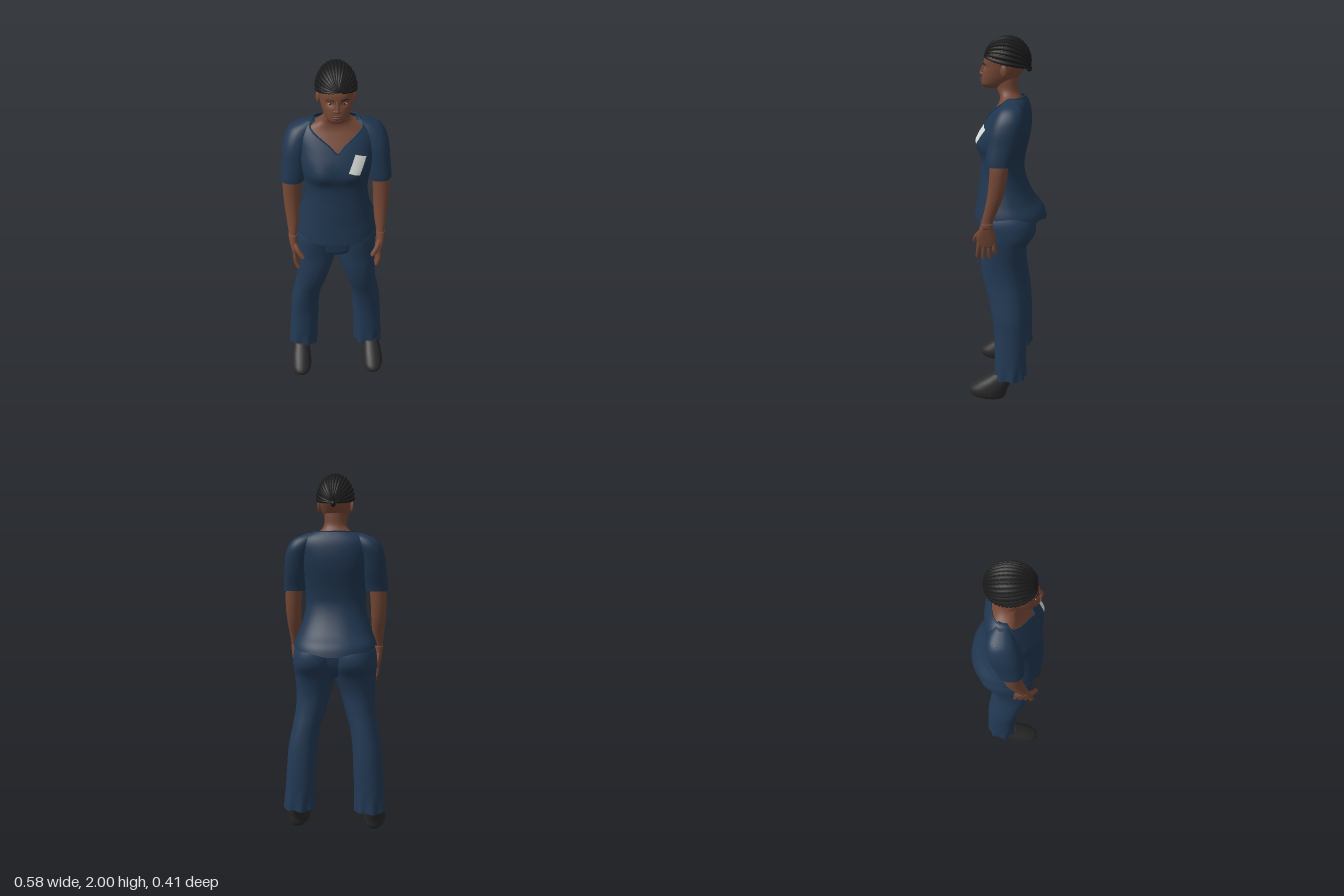
import * as THREE from 'three';

const mat = (name, color) => {
  const m = new THREE.MeshStandardMaterial({ color, side: THREE.DoubleSide });
  m.name = name;
  return m;
};

// Smooth interpolation of cross-sections [y, x0, x1, z0, z1] at height y
function section(rings, y) {
  let i = 0;
  while (i < rings.length - 2 && y > rings[i + 1][0]) i++;
  const a = rings[i], b = rings[i + 1], h = b[0] - a[0];
  const t = THREE.MathUtils.clamp((y - a[0]) / h, 0, 1);
  const slope = (k, c) => {
    const p = rings[Math.max(k - 1, 0)], q = rings[Math.min(k + 1, rings.length - 1)];
    return (q[c] - p[c]) / (q[0] - p[0]);
  };
  const v = [1, 2, 3, 4].map(c =>
    (2 * t ** 3 - 3 * t * t + 1) * a[c] + (t ** 3 - 2 * t * t + t) * h * slope(i, c) +
    (3 * t * t - 2 * t ** 3) * b[c] + (t ** 3 - t * t) * h * slope(i + 1, c));
  return { cx: (v[0] + v[1]) / 2, rx: (v[1] - v[0]) / 2, cz: (v[2] + v[3]) / 2, rz: (v[3] - v[2]) / 2 };
}

const curved = (v, p) => Math.sign(v) * Math.abs(v) ** p;

function surfacePoint(rings, th, y, p, bend) {
  const s = section(rings, y);
  const v = new THREE.Vector3(s.cx + s.rx * curved(Math.sin(th), p), y, s.cz + s.rz * curved(Math.cos(th), p));
  if (bend) bend(v, th);
  return v;
}

// Front surface height z over a given (x, y)
function frontZ(rings, x, y, p, bend) {
  const s = section(rings, y);
  const sn = Math.min(1, Math.abs((x - s.cx) / s.rx) ** (1 / p));
  const v = new THREE.Vector3(x, y, s.cz + s.rz * Math.sqrt(1 - sn * sn) ** p);
  if (bend) bend(v, 0);
  return v.z;
}

// Lofted skin; lo and hi may vary round the body for hems and collars
function loft(name, material, rings, { n = 40, rows = 36, p = 0.88, caps = true, bend, lo, hi } = {}) {
  const y0 = rings[0][0], y1 = rings[rings.length - 1][0];
  const pos = [], idx = [];
  for (let r = 0; r <= rows; r++) for (let k = 0; k < n; k++) {
    const th = k / n * Math.PI * 2;
    const y = THREE.MathUtils.lerp(lo ? lo(th) : y0, hi ? hi(th) : y1, r / rows);
    pos.push(...surfacePoint(rings, th, y, p, bend).toArray());
  }
  for (let r = 0; r < rows; r++) for (let k = 0; k < n; k++) {
    const a = r * n + k, b = r * n + (k + 1) % n;
    idx.push(a, b, b + n, a, b + n, a + n);
  }
  if (caps) for (const [y, row] of [[y0, 0], [y1, rows]]) {
    const s = section(rings, y), c = pos.length / 3;
    pos.push(s.cx, y, s.cz);
    for (let k = 0; k < n; k++) {
      const a = row * n + k, b = row * n + (k + 1) % n;
      row ? idx.push(c, a, b) : idx.push(c, b, a);
    }
  }
  const g = new THREE.BufferGeometry();
  g.setAttribute('position', new THREE.Float32BufferAttribute(pos, 3));
  g.setIndex(idx);
  g.computeVertexNormals();
  return mesh(name, g, material);
}

function mesh(name, geometry, material) {
  const m = new THREE.Mesh(geometry, material);
  m.name = name;
  return m;
}

// Tube whose radius follows a rule along its length
function sweep(name, material, points, radius, segs = 16, sides = 8) {
  const curve = new THREE.CatmullRomCurve3(points.map(q => new THREE.Vector3(...q)));
  const g = new THREE.TubeGeometry(curve, segs, 1, sides);
  const v = new THREE.Vector3(), pos = g.attributes.position;
  for (let i = 0; i < pos.count; i++) {
    const t = Math.floor(i / (sides + 1)) / segs, c = curve.getPointAt(t);
    v.fromBufferAttribute(pos, i).sub(c).multiplyScalar(radius(t)).add(c);
    pos.setXYZ(i, v.x, v.y, v.z);
  }
  return mesh(name, g, material);
}

function ball(name, material, [x, y, z], [sx, sy, sz]) {
  const m = mesh(name, new THREE.SphereGeometry(1, 20, 14), material);
  m.position.set(x, y, z);
  m.scale.set(sx, sy, sz);
  return m;
}

const centred = rows => rows.map(([y, r, zb, zf]) => [y, -r, r, zb, zf]);
const sided = (rows, s) => rows.map(([y, a, b, zb, zf]) => s > 0 ? [y, a, b, zb, zf] : [y, -b, -a, zb, zf]);
const rounded = r => t => r * Math.sqrt(Math.max(0.002, 1 - Math.max(0, (t - 0.8) / 0.2) ** 2));

export function createModel() {
  const model = new THREE.Group();
  const top = mat('navy top', 0x20364f), cloth = mat('navy trousers', 0x233a55);
  const skin = mat('brown skin', 0x744735), lip = mat('lips', 0x5f352c);
  const hairMat = mat('black hair', 0x1b1b1b), shoeMat = mat('charcoal shoes', 0x292929);
  const white = mat('badge white', 0xd8dcd8), eyeWhite = mat('eye white', 0xa8988c);

  // Loose top with flared hem and V neck
  const shirt = centred([
    [1.02, .236, -.208, .195], [1.08, .23, -.188, .185], [1.14, .207, -.14, .175], [1.22, .18, -.1, .166],
    [1.30, .166, -.08, .156], [1.37, .168, -.085, .153], [1.44, .18, -.1, .168], [1.50, .19, -.113, .157],
    [1.56, .195, -.118, .125], [1.62, .198, -.113, .085], [1.66, .175, -.1, .055], [1.69, .115, -.08, .035]]);
  const bust = v => {
    if (v.z > 0) v.z += .013 * Math.exp(-(((Math.abs(v.x) - .09) / .05) ** 2) - ((v.y - 1.445) / .045) ** 2);
  };
  const collar = th => Math.cos(th) > 0 ? 1.56 + .13 * Math.abs(Math.sin(th)) ** .75 : 1.69;
  model.add(loft('top', top, shirt, {
    n: 72, rows: 56, caps: false, bend: bust, hi: collar,
    lo: th => 1.033 + .042 * Math.sin(th) ** 2 + .005 * Math.cos(7 * th)
  }));
  const rim = Array.from({ length: 48 }, (_, i) => {
    const th = i / 48 * Math.PI * 2;
    return surfacePoint(shirt, th, collar(th), .88, bust);
  });
  model.add(mesh('collarTrim', new THREE.TubeGeometry(new THREE.CatmullRomCurve3(rim, true), 96, .004, 6, true), top));

  // Badge lying on the chest
  const badge = new THREE.PlaneGeometry(1, 1, 8, 8), bp = badge.attributes.position;
  for (let i = 0; i < bp.count; i++) {
    const u = bp.getX(i), w = bp.getY(i);
    const x = .101 + .057 * u + .036 * w, y = 1.505 - .02 * u + .08 * w;
    bp.setXYZ(i, x, y, frontZ(shirt, x, y, .88, bust) + .006);
  }
  badge.computeVertexNormals();
  model.add(mesh('badge', badge, white));

  // Chest and neck
  model.add(loft('neck', skin, centred([
    [1.50, .17, -.095, .145], [1.56, .18, -.1, .117], [1.62, .177, -.095, .077], [1.66, .148, -.08, .053],
    [1.69, .09, -.062, .05], [1.72, .064, -.047, .062], [1.77, .059, -.045, .07], [1.80, .059, -.045, .07]])));

  // Head
  const head = centred([
    [1.733, .03, .05, .128], [1.748, .052, .015, .145], [1.78, .069, -.035, .146], [1.81, .078, -.062, .142],
    [1.84, .084, -.08, .136], [1.88, .088, -.092, .132], [1.92, .083, -.088, .112], [1.95, .06, -.06, .08]]);
  const sockets = v => {
    if (v.z > .05) v.z -= .008 * Math.exp(-(((Math.abs(v.x) - .034) / .018) ** 2) - ((v.y - 1.836) / .013) ** 2);
  };
  const faceZ = (x, y) => frontZ(head, x, y, .88, sockets);
  model.add(loft('head', skin, head, { n: 64, rows: 48, bend: sockets }));
  model.add(sweep('noseBridge', skin, [[0, 1.852, .13], [0, 1.83, .139], [0, 1.808, .147]], t => .007 + .005 * t));
  model.add(ball('noseTip', skin, [0, 1.806, .147], [.013, .01, .011]));
  model.add(ball('upperLip', lip, [0, 1.779, .146], [.026, .006, .008]));
  model.add(ball('lowerLip', lip, [0, 1.769, .146], [.023, .007, .009]));
  for (const s of [1, -1]) {
    model.add(ball('nostril', skin, [s * .013, 1.803, .141], [.009, .008, .009]));
    model.add(ball('eye', eyeWhite, [s * .034, 1.835, faceZ(.034, 1.835)], [.014, .005, .003]));
    model.add(ball('iris', hairMat, [s * .034, 1.835, faceZ(.034, 1.835) + .002], [.005, .005, .002]));
    model.add(sweep('eyebrow', hairMat, [.016, .035, .054].map((x, i) =>
      [s * x, 1.853 + .004 * (i === 1), faceZ(x, 1.854)]), () => .003, 10, 6));
    const ear = ball('ear', skin, [s * .089, 1.825, .02], [.009, .03, .019]);
    ear.rotation.y = -s * .3;
    model.add(ear);
  }

  // Braided hair drawn back to a knot
  const hair = new THREE.Group();
  hair.name = 'hair';
  hair.position.set(0, 1.866, .012);
  hair.rotation.x = -.22;
  const R = [.094, .123, .121];
  const cap = mesh('hairCap', new THREE.SphereGeometry(1, 40, 16, 0, Math.PI * 2, 0, Math.PI / 2), hairMat);
  cap.scale.set(...R);
  hair.add(cap);
  for (let i = 0; i < 17; i++) {
    const psi = (i / 16 - .5) * Math.PI;
    const path = Array.from({ length: 14 }, (_, k) => {
      const al = .2 + k / 13 * (Math.PI - .3);
      return [Math.sin(psi) * Math.sin(al) * R[0], Math.cos(psi) * Math.sin(al) * R[1], Math.cos(al) * R[2]];
    });
    hair.add(sweep('braid', hairMat, path,
      t => .0105 * Math.sin(.25 + t * 2.65) ** .6 * (1 + .16 * Math.sin(t * 110)), 90, 6));
  }
  hair.add(ball('hairKnot', hairMat, [0, -.008, -.119], [.013, .016, .014]));
  model.add(hair);

  // Trousers seat
  model.add(loft('trouserSeat', cloth, centred([
    [.90, .05, -.07, .09], [.93, .13, -.1, .137], [.98, .19, -.125, .15], [1.05, .21, -.135, .152], [1.12, .18, -.11, .13]])));

  const sleeve = [
    [1.37, .165, .29, -.04, .095], [1.40, .16, .288, -.047, .095], [1.47, .15, .281, -.07, .087],
    [1.55, .14, .273, -.088, .075], [1.61, .12, .255, -.095, .055], [1.655, .10, .218, -.08, .03], [1.682, .09, .15, -.05, .005]];
  const arm = [
    [1.03, .214, .262, .065, .127], [1.07, .212, .262, .058, .12], [1.13, .203, .268, .035, .105],
    [1.20, .198, .276, .008, .09], [1.28, .195, .281, -.01, .08], [1.36, .19, .28, -.02, .075], [1.45, .185, .26, -.03, .065]];
  const palm = [
    [.92, .212, .24, .055, .14], [.94, .209, .245, .046, .149], [.98, .212, .253, .046, .15],
    [1.02, .214, .26, .058, .136], [1.06, .213, .262, .06, .122]];
  const leg = [
    [.13, .115, .288, -.115, .06], [.20, .114, .284, -.115, .06], [.40, .105, .27, -.115, .065],
    [.50, .1, .262, -.11, .078], [.60, .085, .243, -.1, .1], [.70, .056, .226, -.088, .13], [.80, .028, .222, -.085, .145],
    [.90, -.004, .228, -.11, .145], [.97, -.01, .233, -.153, .15], [1.05, -.01, .225, -.15, .152], [1.11, 0, .19, -.11, .13]];
  const shoe = [
    [0, .185, .26, .01, .165], [.015, .168, .277, -.002, .192], [.05, .16, .285, -.01, .206],
    [.09, .164, .28, -.027, .165], [.13, .17, .27, -.045, .105], [.16, .178, .26, -.04, .06]];
  // Soft folds fading out above the ankle
  const folds = (v, th) => {
    const k = .006 * Math.max(0, 1 - (v.y - .13) / .12) * Math.sin(8 * th);
    v.x += k * Math.sin(th);
    v.z += k * Math.cos(th);
  };

  // Limbs, mirrored
  for (const s of [1, -1]) {
    model.add(loft('sleeve', top, sided(sleeve, s), { caps: false }));
    model.add(loft('shoulderCap', top, sided([sleeve[5], sleeve[6]], s), { rows: 6 }));
    model.add(loft('arm', skin, sided(arm, s), { n: 28, p: .95 }));
    model.add(loft('palm', skin, sided(palm, s), { n: 24, rows: 16 }));
    for (let f = 0; f < 4; f++) {
      const z = .059 + f * .026, end = [.868, .848, .842, .852][f];
      model.add(sweep('finger', skin, [
        [s * .23, .95, z], [s * .229, .905, z - .004 + f * .003], [s * .212, end, z - .014 + f * .009]], rounded(.0115)));
    }
    model.add(sweep('thumb', skin, [[s * .232, 1.01, .125], [s * .212, .975, .153], [s * .184, .935, .17]], rounded(.0135)));
    model.add(loft('trouserLeg', cloth, sided(leg, s), {
      n: 56, rows: 60, caps: false, bend: folds, lo: th => .133 + .004 * Math.sin(5 * th)
    }));
    model.add(loft('shoe', shoeMat, sided(shoe, s), { n: 36, rows: 24, p: .92 }));
  }
  return model;
}
